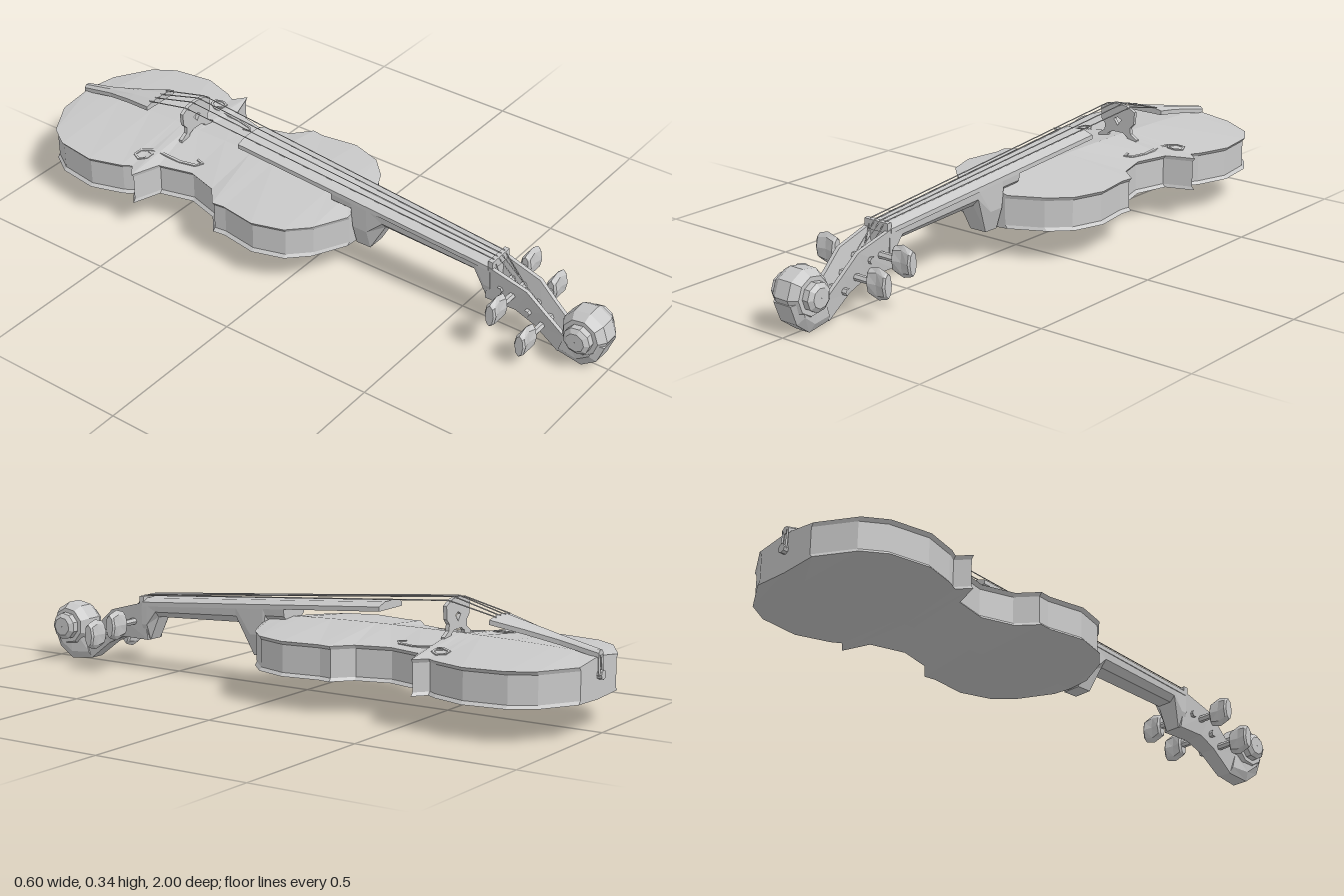
import * as THREE from 'three';

const wood = new THREE.MeshStandardMaterial({ color: 0xc8c8c8, flatShading: true });
wood.name = 'plain grey';

// Closed solid through rings of [x, y, z]; both ends are capped with a fan
function loft(rings) {
  const tris = [], n = rings[0].length;
  for (let i = 0; i + 1 < rings.length; i++) {
    for (let j = 0; j < n; j++) {
      const k = (j + 1) % n, a = rings[i], b = rings[i + 1];
      tris.push([a[j], a[k], b[k]], [a[j], b[k], b[j]]);
    }
  }
  const cap = (ring, flip) => {
    const c = [0, 1, 2].map(d => ring.reduce((s, p) => s + p[d], 0) / n);
    ring.forEach((p, j) => {
      const q = ring[(j + 1) % n];
      tris.push(flip ? [c, q, p] : [c, p, q]);
    });
  };
  cap(rings[0], true);
  cap(rings[rings.length - 1], false);
  // Turn the faces outwards by the sign of the volume about the first point
  const o = new THREE.Vector3(...rings[0][0]);
  let volume = 0;
  for (const t of tris) {
    const [a, b, c] = t.map(p => new THREE.Vector3(...p).sub(o));
    volume += a.dot(b.cross(c));
  }
  if (volume < 0) tris.forEach(t => t.reverse());
  const g = new THREE.BufferGeometry();
  g.setAttribute('position', new THREE.Float32BufferAttribute(tris.flat(2), 3));
  g.computeVertexNormals();
  return g;
}

// Half outline of the body: [z, half width]
const outline = [
  [-0.985, 0.12], [-0.915, 0.235], [-0.845, 0.28], [-0.715, 0.298], [-0.61, 0.265],
  [-0.58, 0.247], [-0.547, 0.287], [-0.515, 0.196], [-0.405, 0.167], [-0.30, 0.197],
  [-0.25, 0.255], [-0.21, 0.25], [-0.09, 0.268], [0.01, 0.237], [0.07, 0.177], [0.125, 0.07],
];
const EDGE = 0.207;
const dome = z => Math.sqrt(Math.max(0, 1 - ((z + 0.43) / 0.58) ** 2));
const spineY = z => 0.214 + 0.026 * dome(z);
function topY(x, z) {
  const i = Math.max(1, outline.findIndex(p => p[0] >= z));
  const [z0, w0] = outline[i - 1], [z1, w1] = outline[i];
  const w = w0 + (w1 - w0) * (z - z0) / (z1 - z0);
  return spineY(z) + (EDGE - spineY(z)) * Math.abs(x) / w;
}

// Fingerboard surface height
const boardY = z => 0.235 + (0.61 - z) * 0.0835;

function rod(a, b, r, sides = 4) {
  const path = new THREE.LineCurve3(new THREE.Vector3(...a), new THREE.Vector3(...b));
  return new THREE.TubeGeometry(path, 1, r, sides);
}

export function createModel() {
  const model = new THREE.Group();
  model.name = 'violin';
  const add = (geometry, name) => {
    const mesh = new THREE.Mesh(geometry, wood);
    mesh.name = name;
    model.add(mesh);
    return mesh;
  };

  // Body: arched plates with a small overhang around the ribs
  add(loft(outline.map(([z, w]) => {
    const r = w - 0.009, under = 0.1 - 0.01 * dome(z);
    return [[0, under, z], [w, 0.102, z], [r, 0.112, z], [r, 0.196, z], [w, EDGE, z],
      [0, spineY(z), z], [-w, EDGE, z], [-r, 0.196, z], [-r, 0.112, z], [-w, 0.102, z]];
  })), 'body');

  // Neck and heel: [z, underside, half width]
  add(loft([
    [0.615, 0.1, 0.046], [0.595, 0.1, 0.046], [0.56, 0.178, 0.046], [0.235, 0.195, 0.052],
    [0.18, 0.097, 0.054], [0.13, 0.097, 0.055], [0.122, 0.21, 0.055], [0.05, 0.212, 0.056],
  ].map(([z, y, w]) => {
    const t = boardY(z) - 0.022, m = t + (y - t) * 0.55;
    return [[-w, t, z], [w, t, z], [w * 0.95, m, z], [w * 0.55, y, z], [-w * 0.55, y, z], [-w * 0.95, m, z]];
  })), 'neck');

  // Fingerboard with a faceted crown
  add(loft([[0.61, 0.048], [-0.30, 0.064]].map(([z, w]) => {
    const t = boardY(z), s = t - 0.011, b = t - 0.025;
    return [[-w, b, z], [w, b, z], [w, s, z], [w * 0.5, t, z], [-w * 0.5, t, z], [-w, s, z]];
  })), 'fingerboard');
  const nut = add(new THREE.BoxGeometry(0.09, 0.03, 0.016), 'nut');
  nut.position.set(0, 0.227, 0.615);

  // Open pegbox: [top z, top y, bottom z, bottom y, half width]
  const box = [
    [0.612, 0.222, 0.597, 0.10, 0.047], [0.74, 0.187, 0.70, 0.10, 0.043],
    [0.80, 0.135, 0.765, 0.072, 0.038], [0.868, 0.08, 0.845, 0.012, 0.034],
  ];
  for (const s of [-1, 1]) {
    add(loft(box.map(([tz, ty, bz, by, w]) => [
      [s * w, ty, tz], [s * (w - 0.013), ty, tz], [s * (w * 0.75 - 0.013), by, bz], [s * w * 0.75, by, bz],
    ])), 'pegboxWall');
  }
  add(loft(box.map(([tz, ty, bz, by, w]) => {
    const z = bz + (tz - bz) * 0.3, y = by + (ty - by) * 0.3;
    return [[w * 0.8, y, z], [-w * 0.8, y, z], [-w * 0.75, by, bz], [w * 0.75, by, bz]];
  })), 'pegboxFloor');

  // Turn leading from the pegbox into the scroll
  add(loft([
    [0.866, 0.08, 0.845, 0.012, 0.034], [0.895, 0.09, 0.925, 0.003, 0.042],
    [0.92, 0.11, 0.975, 0.04, 0.048], [0.92, 0.13, 0.998, 0.10, 0.05],
  ].map(([tz, ty, bz, by, w]) => {
    const z = tz + (bz - tz) * 0.7, y = ty + (by - ty) * 0.7;
    return [[w, ty, tz], [-w, ty, tz], [-w, y, z], [-w * 0.65, by, bz], [w * 0.65, by, bz], [w, y, z]];
  })), 'scrollTurn');

  // Scroll drum with an eye on each side
  const half = [[0.001, 0.08], [0.03, 0.08], [0.044, 0.07], [0.044, 0.05], [0.058, 0.05], [0.075, 0.024]];
  const profile = [...half.map(([r, x]) => [r, -x]), ...half.slice().reverse()];
  const scroll = add(new THREE.LatheGeometry(profile.map(p => new THREE.Vector2(...p)), 9), 'scroll');
  scroll.rotation.z = Math.PI / 2;
  scroll.position.set(0, 0.116, 0.926);

  // Pegs, alternating sides: [side, z, y, outer end]
  const pegs = [[1, 0.65, 0.157, 0.165], [-1, 0.69, 0.152, 0.16], [1, 0.745, 0.116, 0.158], [-1, 0.79, 0.086, 0.155]];
  for (const [s, z, y, end] of pegs) {
    add(rod([-s * 0.05, y, z], [s * (end - 0.07), y, z], 0.011, 6), 'pegShaft');
    const head = [[0.072, 0.036, 0.012], [0.066, 0.04, 0.019], [0.036, 0.049, 0.013], [0.006, 0.04, 0.019], [0, 0.036, 0.014]];
    add(loft(head.map(([d, ry, rz]) => Array.from({ length: 8 }, (_, i) => {
      const a = i * Math.PI / 4;
      return [s * (end - d), y + ry * Math.cos(a), z + rz * Math.sin(a)];
    }))), 'pegHead');
  }

  // Bridge with feet, arch and a small opening
  const side = [[0.02, 0.25], [0.038, 0.24], [0.04, 0.224], [0.076, 0.222], [0.076, 0.235], [0.052, 0.25],
    [0.05, 0.27], [0.064, 0.285], [0.067, 0.325], [0.036, 0.341]];
  const outlinePts = [...side, [0, 0.345], ...side.slice().reverse().map(([x, y]) => [-x, y])];
  const bridgeShape = new THREE.Shape(outlinePts.map(p => new THREE.Vector2(...p)));
  bridgeShape.holes.push(new THREE.Path([[0, 0.272], [-0.015, 0.292], [0, 0.3], [0.015, 0.292]].map(p => new THREE.Vector2(...p))));
  const bridge = add(new THREE.ExtrudeGeometry(bridgeShape, { depth: 0.012, bevelEnabled: false }), 'bridge');
  bridge.position.z = -0.531;

  // Tailpiece: [z, half width, top]
  add(loft([[-0.67, 0.065, 0.307], [-0.77, 0.04, 0.286], [-0.87, 0.02, 0.264], [-0.99, 0.014, 0.238]].map(([z, w, y]) => [
    [-w, y - 0.022, z], [w, y - 0.022, z], [w, y - 0.008, z], [w * 0.4, y, z], [-w * 0.4, y, z], [-w, y - 0.008, z],
  ])), 'tailpiece');

  // End button and its cord
  const button = add(new THREE.CylinderGeometry(0.014, 0.014, 0.03, 8), 'endButton');
  button.rotation.x = Math.PI / 2;
  button.position.set(0, 0.168, -0.985);
  for (const s of [-1, 1]) add(rod([s * 0.009, 0.225, -0.988], [s * 0.011, 0.165, -0.992], 0.004), 'tailCord');

  // Strings run from peg to nut, over the bridge and down to the tailpiece
  const order = [0, 2, 3, 1];
  for (let i = 0; i < 4; i++) {
    const u = (i - 1.5) / 1.5, crown = Math.abs(u) > 0.5 ? 0.007 : 0;
    const peg = pegs[order[i]];
    const points = [[u * 0.022, peg[2] + 0.01, peg[1]], [u * 0.028, 0.243, 0.615],
      [u * 0.046, 0.346 - crown, -0.525], [u * 0.04, 0.304, -0.68]];
    for (let k = 0; k < 3; k++) add(rod(points[k], points[k + 1], 0.002), 'string');
  }

  // Sound holes: slim ribbons lying on the top plate
  const curl = [[0.165, -0.578], [0.172, -0.56], [0.195, -0.562], [0.21, -0.585], [0.2, -0.608], [0.175, -0.605],
    [0.155, -0.575], [0.15, -0.53], [0.148, -0.47], [0.135, -0.415], [0.118, -0.4], [0.112, -0.425]];
  for (const s of [-1, 1]) {
    add(loft(curl.map(([x, z], i) => {
      const a = curl[Math.max(0, i - 1)], b = curl[Math.min(curl.length - 1, i + 1)];
      const dx = b[0] - a[0], dz = b[1] - a[1], l = Math.hypot(dx, dz) / 0.004;
      const at = (k, h) => {
        const px = x + k * dz / l, pz = z - k * dx / l;
        return [s * px, topY(px, pz) + h, pz];
      };
      return [at(1, -0.002), at(1, 0.003), at(-1, 0.003), at(-1, -0.002)];
    })), 'soundHole');
  }
  return model;
}
